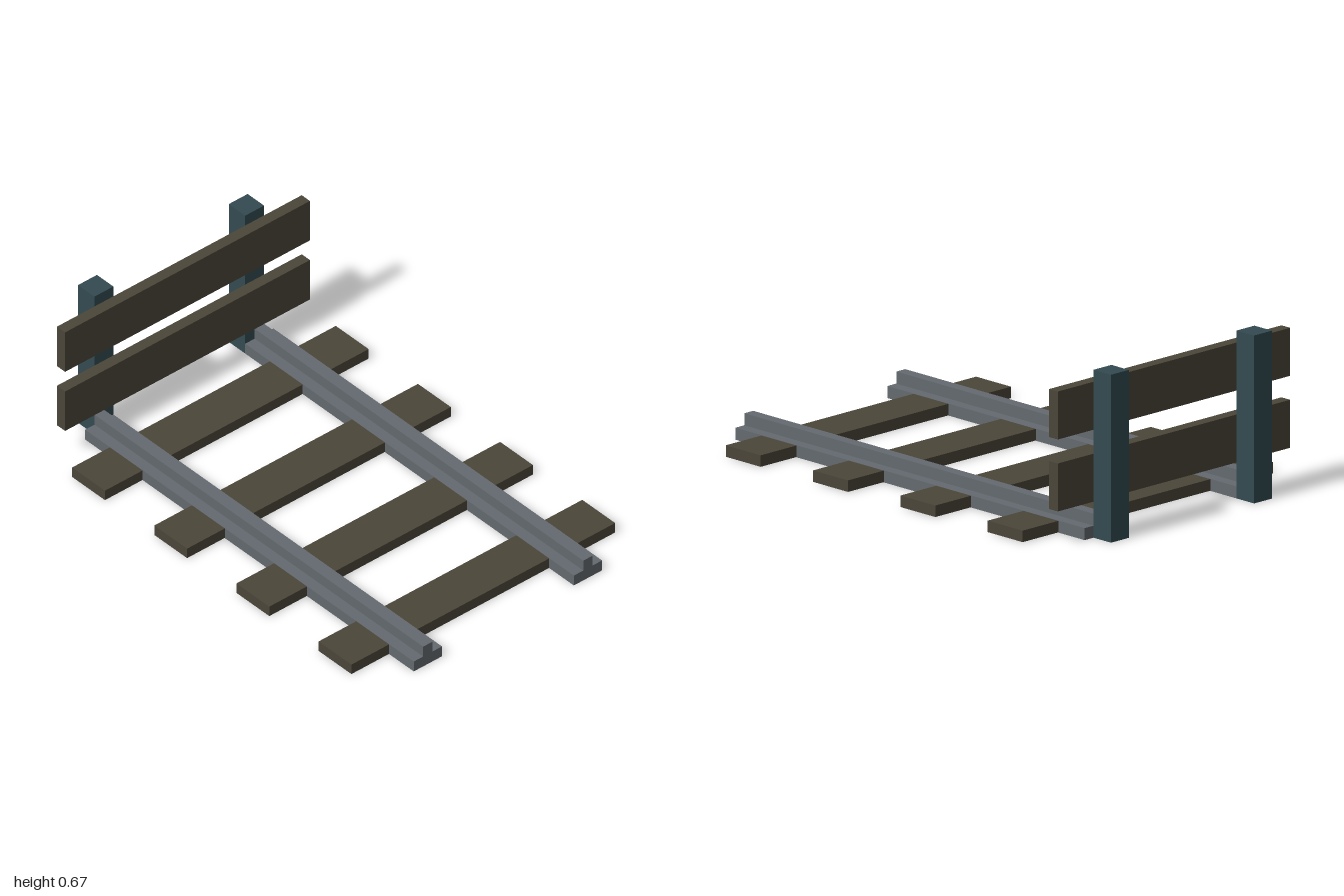
import * as THREE from 'three';

const U = 1 / 21; // modelling unit: one plank thickness

export function createModel() {
  const model = new THREE.Group();
  model.name = 'trackEnd';
  const wood = new THREE.MeshStandardMaterial({ color: 0x4c4639 });
  wood.name = 'darkWood';
  const steel = new THREE.MeshStandardMaterial({ color: 0x646a6f });
  steel.name = 'railSteel';
  const paint = new THREE.MeshStandardMaterial({ color: 0x344b51 });
  paint.name = 'tealPost';

  // Box given by its low and high corners
  function box(name, material, [x0, y0, z0], [x1, y1, z1]) {
    const mesh = new THREE.Mesh(new THREE.BoxGeometry(x1 - x0, y1 - y0, z1 - z0), material);
    mesh.position.set((x0 + x1) / 2, (y0 + y1) / 2, (z0 + z1) / 2);
    mesh.name = name;
    model.add(mesh);
  }

  // Sleepers, a hair thinner than the rail feet that cross them
  for (let i = 0; i < 4; i++) {
    const z = (-16 + 10 * i) * U;
    box('sleeper' + (i + 1), wood, [-14 * U, 0.001, z], [14 * U, U - 0.001, z + 4 * U]);
  }

  // Barrier boards
  [['lowerBoard', 3], ['upperBoard', 9]].forEach(([name, y]) =>
    box(name, wood, [-13 * U, y * U, -19 * U], [13 * U, (y + 4) * U, -18 * U]));

  // Rails with a wide foot and narrow head, and the posts behind them
  const profile = [[-1.5, 0], [1.5, 0], [1.5, 1], [0.5, 1], [0.5, 2], [-0.5, 2], [-0.5, 1], [-1.5, 1]];
  const section = new THREE.Shape(profile.map(([x, y]) => new THREE.Vector2(x * U, y * U)));
  const railGeometry = new THREE.ExtrudeGeometry(section, { depth: 40 * U, bevelEnabled: false });
  for (const [side, s] of [['left', 1], ['right', -1]]) {
    const rail = new THREE.Mesh(railGeometry, steel);
    rail.name = side + 'Rail';
    rail.position.set(s * 8.5 * U, 0, -19 * U);
    model.add(rail);
    const x = s * 8 * U;
    box(side + 'Post', paint, [x - U, 0, -21 * U], [x + U, 14 * U, -19 * U]);
  }
  return model;
}
